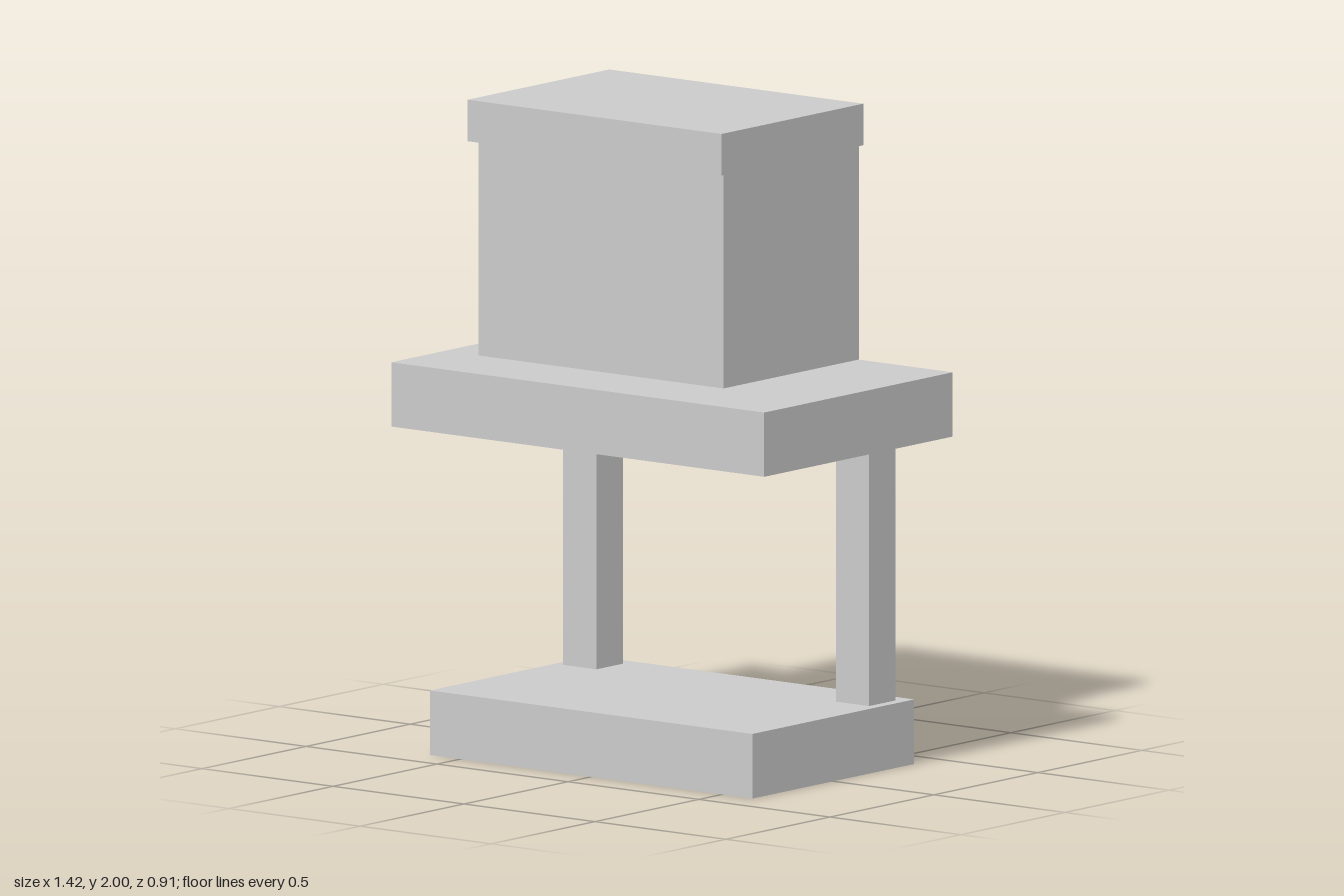
import * as THREE from 'three';

const material = new THREE.MeshStandardMaterial({ color: 0xcccccc, flatShading: true });

// Box spanning the given min and max on each axis
function block(name, [x0, x1], [y0, y1], [z0, z1]) {
  const mesh = new THREE.Mesh(new THREE.BoxGeometry(x1 - x0, y1 - y0, z1 - z0), material);
  mesh.position.set((x0 + x1) / 2, (y0 + y1) / 2, (z0 + z1) / 2);
  mesh.name = name;
  return mesh;
}

export function createModel() {
  const model = new THREE.Group();
  model.name = 'boxOnStand';

  // Stand: base slab, two rear posts and the shelf
  const stand = new THREE.Group();
  stand.name = 'stand';
  stand.add(block('base', [-0.616, 0.616], [0, 0.196], [-0.389, 0.389]));
  stand.add(block('leftPost', [0.457, 0.584], [0.196, 0.995], [-0.34, -0.212]));
  stand.add(block('rightPost', [-0.584, -0.457], [0.196, 0.995], [-0.34, -0.212]));
  stand.add(block('shelf', [-0.712, 0.712], [0.995, 1.19], [-0.453, 0.453]));

  // Box hovering just above the shelf, its lid flush at the back
  const box = new THREE.Group();
  box.name = 'box';
  box.add(block('boxBody', [-0.468, 0.468], [1.222, 1.874], [-0.309, 0.342]));
  box.add(block('lid', [-0.485, 0.485], [1.874, 2], [-0.309, 0.372]));

  model.add(stand, box);
  return model;
}
